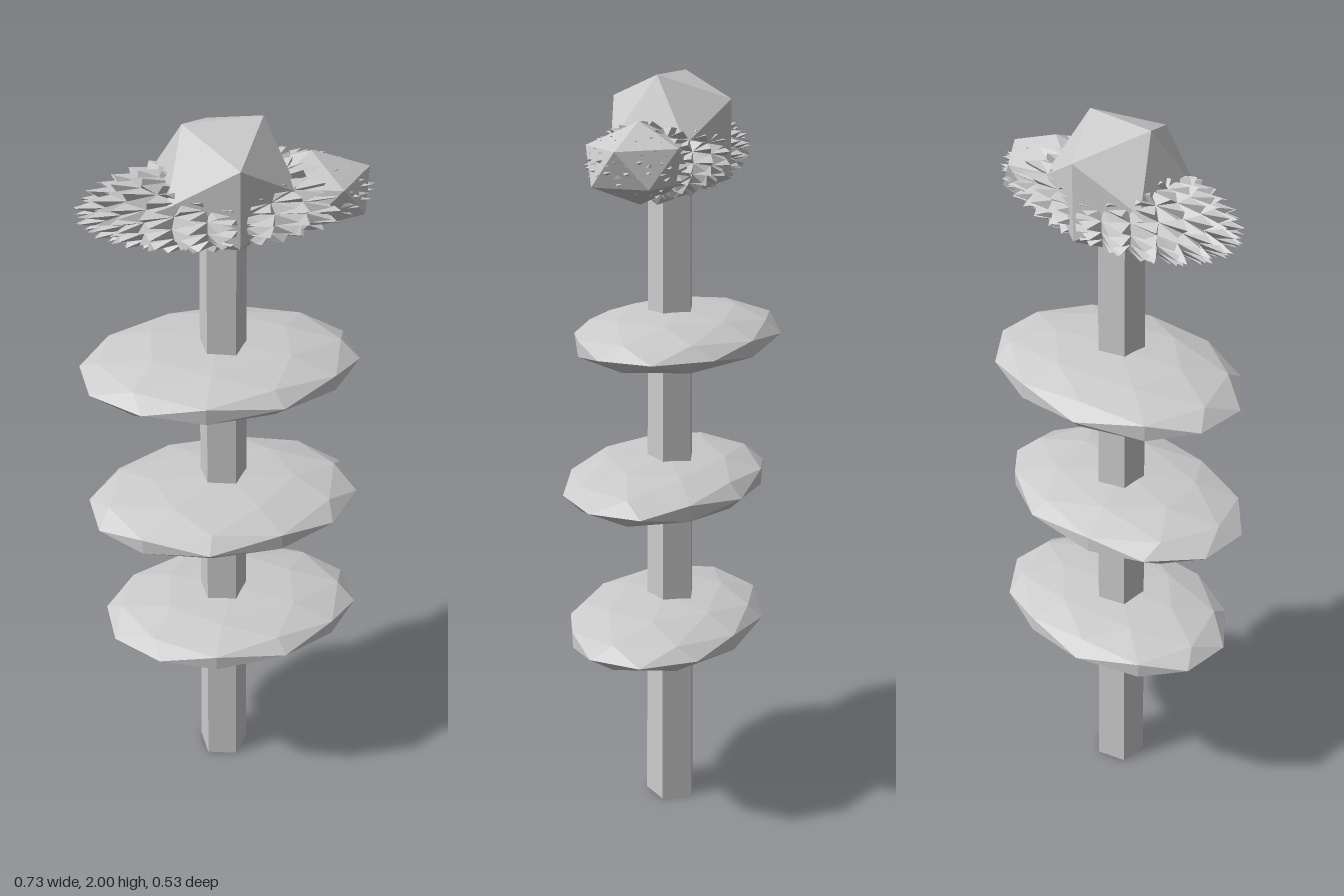
import * as THREE from 'three';

const material = new THREE.MeshStandardMaterial({ color: 0xcccccc, flatShading: true });

function addPart(group, name, geometry, x, y, z) {
  const mesh = new THREE.Mesh(geometry, material);
  mesh.name = name;
  mesh.position.set(x, y, z);
  group.add(mesh);
  return mesh;
}

// Faceted ball turned about y, then stretched to the given half sizes
function facetedDisc(halfX, halfY, halfZ, turn) {
  const g = new THREE.IcosahedronGeometry(1, 1);
  g.rotateY(turn);
  g.computeBoundingBox();
  const { max } = g.boundingBox;
  g.scale(halfX / max.x, halfY / max.y, halfZ / max.z);
  g.computeVertexNormals();
  return g;
}

// Ball whose every face is raised into a small pyramid, then stretched
function spikyBall(detail, base, halfX, halfY, halfZ) {
  const p = new THREE.IcosahedronGeometry(1, detail).attributes.position;
  const points = [];
  for (let i = 0; i < p.count; i += 3) {
    const [a, b, c] = [0, 1, 2].map((k) =>
      new THREE.Vector3().fromBufferAttribute(p, i + k).multiplyScalar(base));
    const tip = a.clone().add(b).add(c).normalize();
    points.push(a, b, tip, b, c, tip, c, a, tip);
  }
  const g = new THREE.BufferGeometry().setFromPoints(points);
  g.scale(halfX, halfY, halfZ);
  g.computeVertexNormals();
  return g;
}

export function createModel() {
  const model = new THREE.Group();
  model.name = 'tieredTree';

  // Five-sided tapering trunk with one corner towards +x
  const trunk = new THREE.CylinderGeometry(0.06, 0.071, 1.8, 5);
  trunk.rotateY(Math.PI / 2);
  addPart(model, 'trunk', trunk, -0.014, 0.9, 0);

  // Three flat tiers of foliage: x, y, z, half width, half depth, turn
  const tiers = [
    [0.007, 0.542, 0.008, 0.348, 0.249, 0.25],
    [-0.017, 0.937, 0.017, 0.353, 0.249, -0.28],
    [-0.017, 1.336, -0.015, 0.353, 0.252, 0.27],
  ];
  tiers.forEach(([x, y, z, w, d, turn], i) =>
    addPart(model, `foliageTier${i + 1}`, facetedDisc(w, 0.068, d, turn), x, y, z));

  // Spiky top cluster with a smoother wedge at its left end
  addPart(model, 'spikyCluster', spikyBall(3, 0.83, 0.37, 0.106, 0.174), -0.005, 1.8, 0);
  const wedge = new THREE.IcosahedronGeometry(1, 0);
  wedge.rotateZ(Math.atan(1.618) - Math.PI / 2 - 0.02);
  wedge.scale(0.17, 0.1, 0.14);
  addPart(model, 'clusterEnd', wedge, 0.2, 1.8, 0);

  // Crown on top
  addPart(model, 'crown', new THREE.IcosahedronGeometry(0.186, 0), -0.013, 1.842, 0);

  return model;
}
